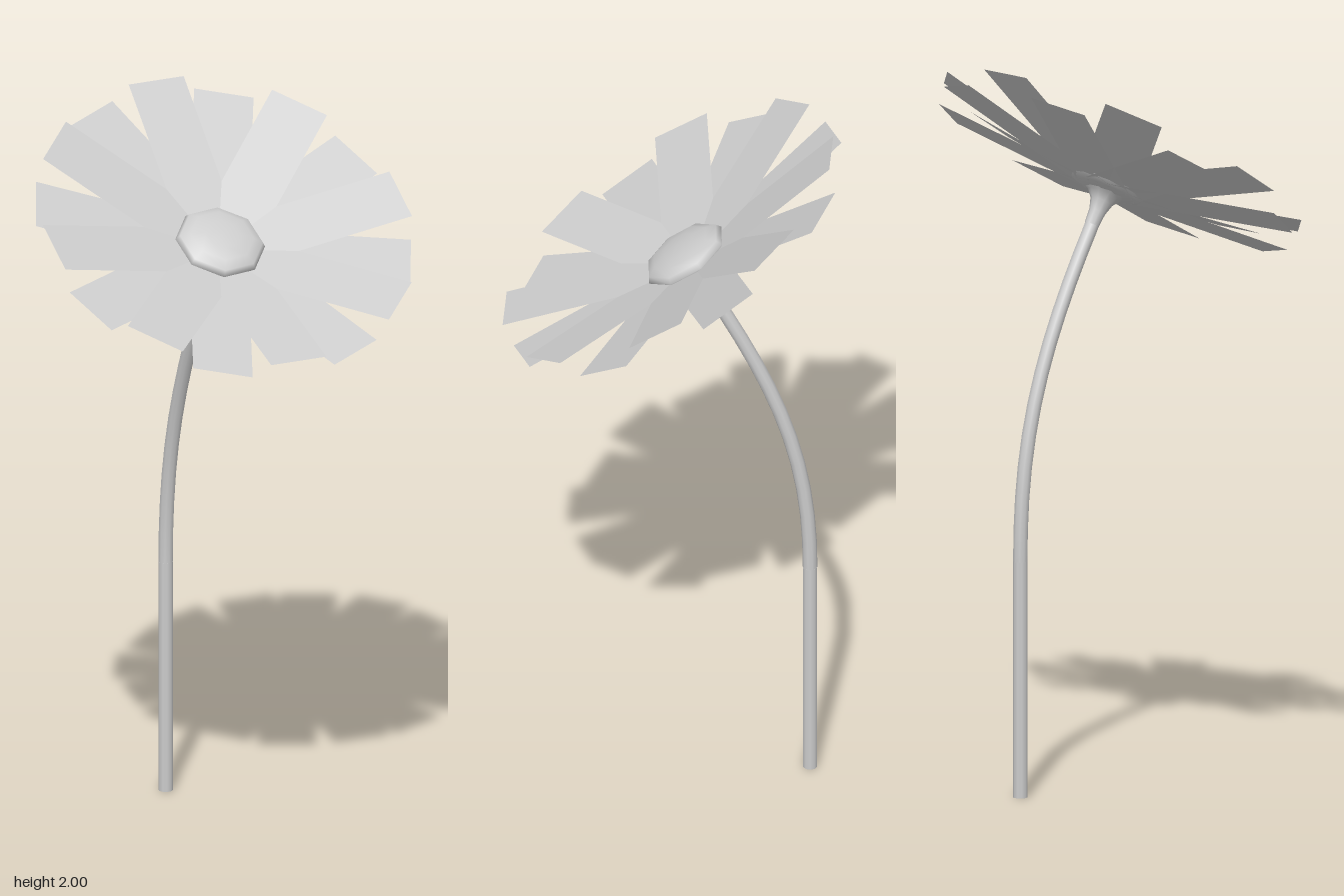
import * as THREE from 'three';

const material = new THREE.MeshStandardMaterial({ color: 0xcccccc });
const petalMaterial = new THREE.MeshStandardMaterial({ color: 0xcccccc, side: THREE.DoubleSide });

function part(name, geometry, mat = material) {
  const mesh = new THREE.Mesh(geometry, mat);
  mesh.name = name;
  return mesh;
}

// Flat strip from the flower centre outward (+z), rising toward its tip
function petalGeometry(length, width, rise) {
  const g = new THREE.PlaneGeometry(width, length);
  g.rotateX(-Math.PI / 2);
  g.translate(0, 0, length / 2);
  const p = g.attributes.position;
  for (let i = 0; i < p.count; i++) p.setY(i, (p.getZ(i) / length) * rise);
  g.computeVertexNormals();
  return g;
}

function createHead() {
  const head = new THREE.Group();
  head.name = 'flowerHead';

  // Two rings of eight petals, the upper ring steeper and turned half a step
  const rings = [
    { name: 'lowerPetal', rise: 0.07, turn: 0 },
    { name: 'upperPetal', rise: 0.12, turn: Math.PI / 8 },
  ];
  for (const { name, rise, turn } of rings) {
    const geometry = petalGeometry(0.52, 0.165, rise);
    for (let i = 0; i < 8; i++) {
      const petal = part(name, geometry, petalMaterial);
      petal.rotation.y = turn + (i * Math.PI) / 4;
      head.add(petal);
    }
  }

  // Flattened eight-sided centre
  const disc = part('flowerCentre', new THREE.SphereGeometry(0.125, 8, 8));
  disc.scale.y = 0.32;
  disc.position.y = 0.03;
  disc.rotation.y = Math.PI / 32;
  head.add(disc);

  // Flared calyx under the petals
  const profile = [[0.02, -0.1], [0.023, -0.06], [0.032, -0.03], [0.048, -0.01], [0.075, 0.006]];
  head.add(part('calyx', new THREE.LatheGeometry(profile.map(([r, y]) => new THREE.Vector2(r, y)), 10), petalMaterial));

  // Tilt forward and slightly to the right
  const up = new THREE.Vector3(-0.25, 1, 0.56).normalize();
  const front = new THREE.Vector3(0.025, -0.255, 0.455);
  const side = new THREE.Vector3().crossVectors(up, front).normalize();
  front.crossVectors(side, up);
  head.quaternion.setFromRotationMatrix(new THREE.Matrix4().makeBasis(side, up, front));
  head.position.set(0.015, 1.627, -0.037);
  return head;
}

function createStem() {
  const stem = new THREE.Group();
  stem.name = 'stem';
  const radius = 0.02, sides = 10;
  const bend = new THREE.Vector3(0.14, 0.65, -0.335);

  // Straight lower stalk
  const stalk = part('stalk', new THREE.CylinderGeometry(radius, radius, bend.y, sides));
  stalk.position.set(bend.x, bend.y / 2, bend.z);
  stem.add(stalk);

  // Curved upper stalk meeting the head along its axis
  const curve = new THREE.CubicBezierCurve3(
    bend,
    new THREE.Vector3(0.14, 1.0, -0.335),
    new THREE.Vector3(0.115, 1.23, -0.258),
    new THREE.Vector3(0.018, 1.615, -0.043),
  );
  stem.add(part('curvedStalk', new THREE.TubeGeometry(curve, 12, radius, sides)));
  return stem;
}

export function createModel() {
  const flower = new THREE.Group();
  flower.name = 'flower';
  flower.add(createStem(), createHead());
  return flower;
}
